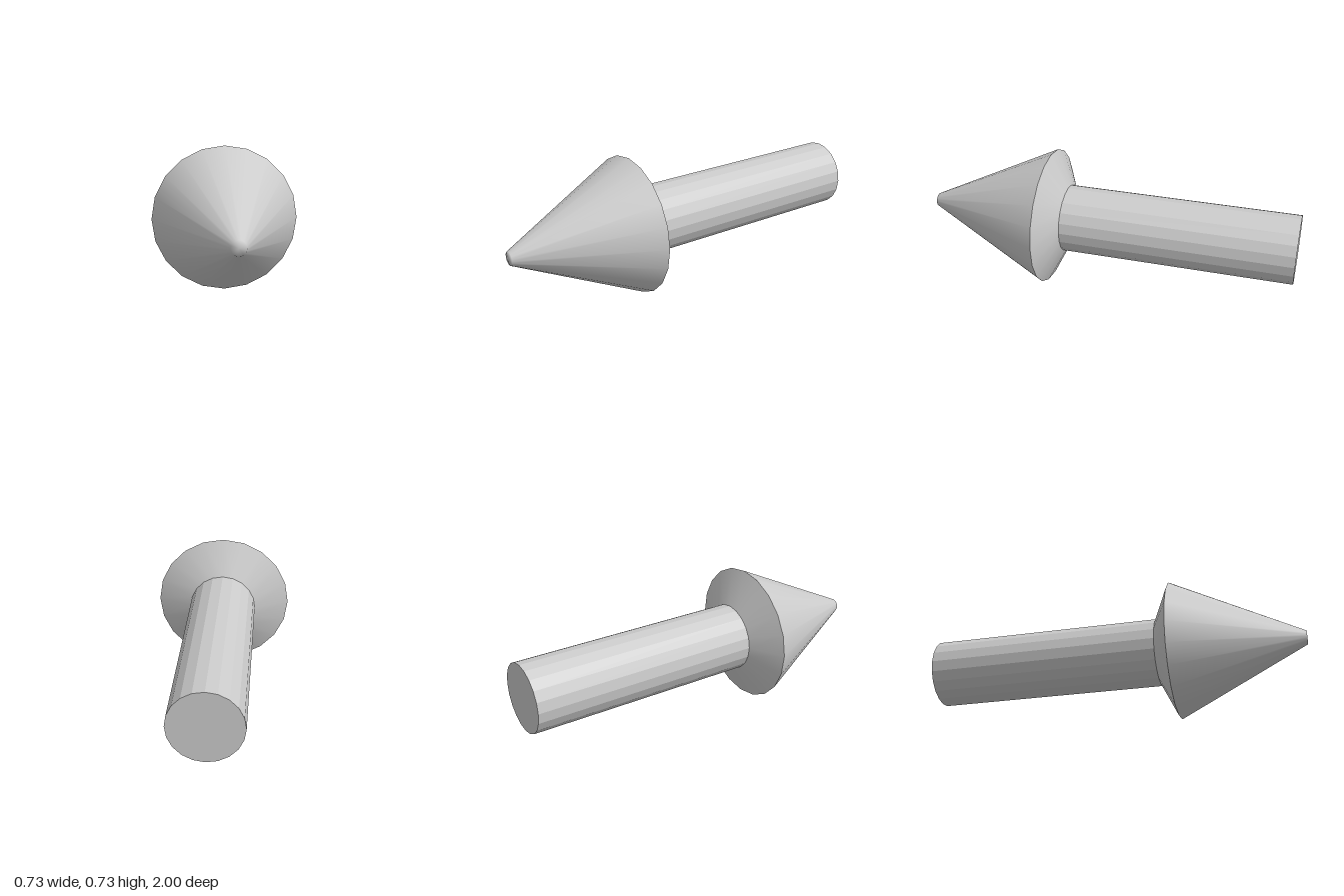
import * as THREE from 'three';

const SIDES = 20;
const RADIUS = 0.365;

// Turns a profile of [radius, z] pairs around the z axis
function turned(name, profile, flatShading) {
  const points = profile.map(([r, z]) => new THREE.Vector2(r, z));
  const geometry = new THREE.LatheGeometry(points, SIDES).rotateX(Math.PI / 2);
  const mesh = new THREE.Mesh(
    geometry,
    new THREE.MeshStandardMaterial({ color: 0xcccccc, flatShading })
  );
  mesh.name = name;
  mesh.position.y = RADIUS;
  return mesh;
}

export function createModel() {
  const group = new THREE.Group();
  group.name = 'arrow';

  // Faceted shaft with a closed rear end
  group.add(turned('shaft', [[0, -1], [0.18, -1], [0.18, 0.23]], true));

  // Sloping collar behind the head
  group.add(turned('headBack', [[0.18, 0.23], [RADIUS, 0.32]], false));

  // Smooth cone with a small blunt tip
  group.add(turned('headCone', [[RADIUS, 0.32], [0.036, 1], [0, 1]], false));

  return group;
}
